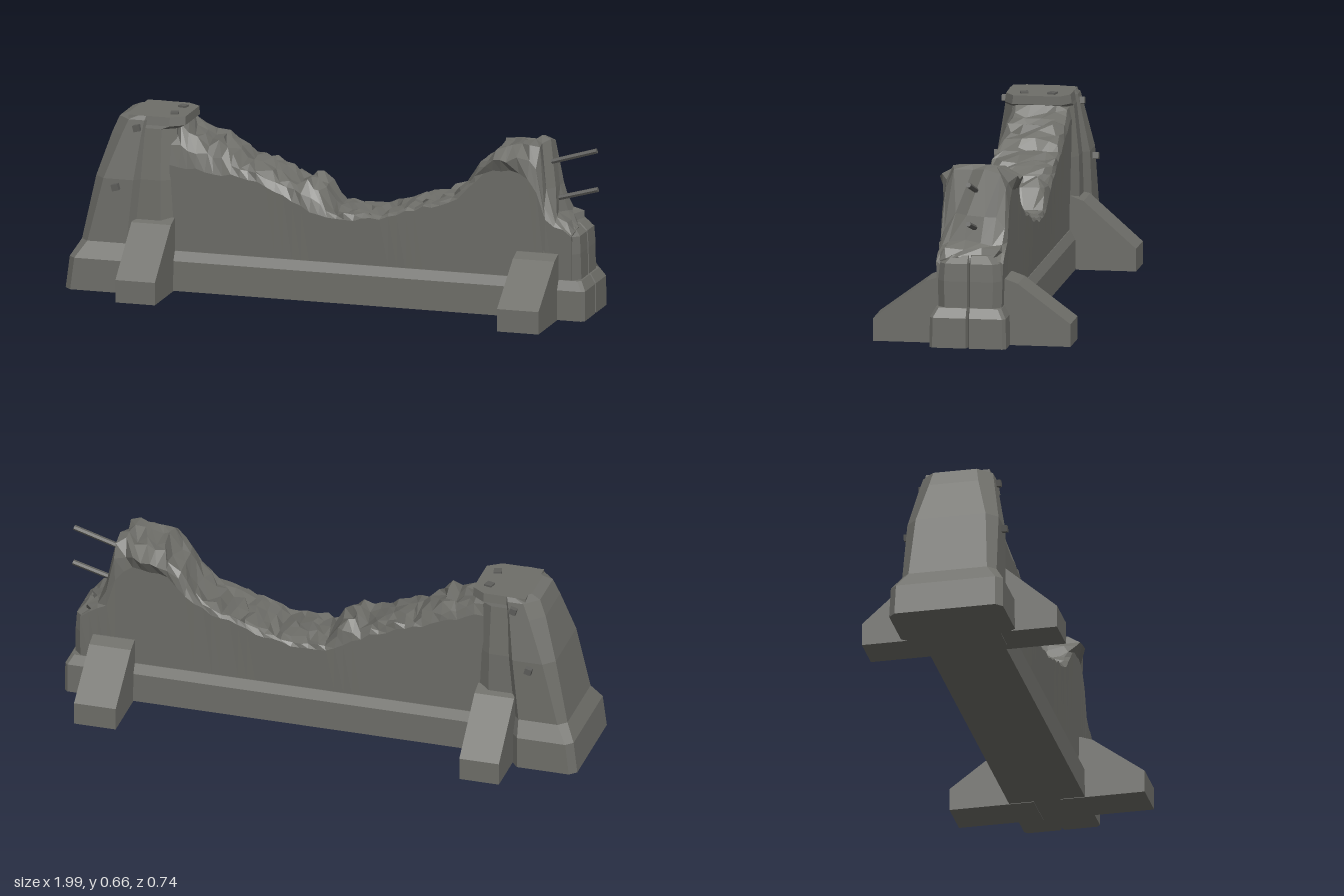
import * as THREE from 'three';

const concrete = new THREE.MeshStandardMaterial({ color: 0x6e6e69 });
concrete.name = 'concrete';
const steel = new THREE.MeshStandardMaterial({ color: 0x5e5e5b });
steel.name = 'steel';

// Small seeded generator, values in 0..1
let seed = 7;
const rand = () => {
  seed = (seed * 16807) % 2147483647;
  return seed / 2147483647;
};
const jitter = (a) => (rand() * 2 - 1) * a;

// Piecewise-linear curve through [x, value] points
function curve(points, x) {
  for (let i = 1; i < points.length; i++) {
    const [x0, v0] = points[i - 1], [x1, v1] = points[i];
    if (x <= x1) return v0 + (v1 - v0) * Math.max(0, (x - x0) / (x1 - x0));
  }
  return points[points.length - 1][1];
}

// Faceted solid through closed rings of equal length, capped at both ends
function loft(rings) {
  const n = rings[0].length, last = (rings.length - 1) * n, index = [];
  for (let r = 0; r < rings.length - 1; r++) {
    for (let i = 0; i < n; i++) {
      const a = r * n + i, b = r * n + (i + 1) % n;
      index.push(a, b, b + n, a, b + n, a + n);
    }
  }
  for (let i = 1; i < n - 1; i++) {
    index.push(0, i + 1, i, last, last + i, last + i + 1);
  }
  const g = new THREE.BufferGeometry();
  g.setAttribute('position', new THREE.Float32BufferAttribute(rings.flat(2), 3));
  g.setIndex(index);
  const flat = g.toNonIndexed();
  flat.computeVertexNormals();
  return flat;
}

export function createModel() {
  const model = new THREE.Group();
  model.name = 'brokenBarrier';
  const add = (name, geometry, material = concrete) => {
    const mesh = new THREE.Mesh(geometry, material);
    mesh.name = name;
    model.add(mesh);
    return mesh;
  };

  // Pillar body: flared foot, tapering upward, bevelled corners
  const body = [
    // y, left x, right x, half depth, corner cut
    [0, -1, -0.75, 0.215, 0.025],
    [0.12, -0.985, -0.75, 0.212, 0.025],
    [0.18, -0.95, -0.745, 0.178, 0.03],
    [0.42, -0.9, -0.72, 0.172, 0.04],
    [0.58, -0.85, -0.7, 0.143, 0.05],
    [0.64, -0.825, -0.69, 0.132, 0.05],
    [0.655, -0.79, -0.685, 0.122, 0.05],
  ];
  add('pillarBody', loft(body.map(([y, l, r, h, c]) => [
    [r, y, h - 0.03], [r, y, -h + 0.03], [r - 0.025, y, -h], [l + c, y, -h],
    [l, y, -h + c], [l, y, h - c], [l + c, y, h], [r - 0.025, y, h],
  ])));

  // Narrower inner strip of the pillar, with a projecting cap
  const strip = [
    // y, right x, half depth
    [0, -0.595, 0.155], [0.42, -0.598, 0.147], [0.61, -0.6, 0.128],
    [0.622, -0.57, 0.125], [0.655, -0.57, 0.12],
  ];
  add('pillarStrip', loft(strip.map(([y, r, h]) => [
    [r, y, h - 0.035], [r, y, -h + 0.035], [r - 0.05, y, -h],
    [-0.78, y, -h], [-0.78, y, h], [r - 0.05, y, h],
  ])));

  // Bolt stubs on both sides and on top of the pillar
  for (const s of [1, -1]) {
    for (const [x, y, z] of [[-0.81, 0.392, 0.177], [-0.74, 0.612, 0.137]]) {
      const bolt = add('sideBolt', new THREE.BoxGeometry(0.026, 0.024, 0.035), steel);
      bolt.position.set(x, y, s * z);
      bolt.rotation.z = 0.25;
    }
    const bolt = add('topBolt', new THREE.BoxGeometry(0.03, 0.012, 0.03), steel);
    bolt.position.set(-0.622, 0.656, s * 0.053);
    bolt.rotation.y = s * 0.25;
  }

  // Plinth with a chamfered upper edge and a notch in its end
  const notched = (y, l, r, h, c) => [
    [r - 0.025, y, 0], [r, y, -0.006], [r, y, -h + c], [r - c, y, -h],
    [l, y, -h], [l, y, h], [r - c, y, h], [r, y, h - c], [r, y, 0.006],
  ];
  add('plinth', loft([
    notched(0.005, -0.62, 0.985, 0.143, 0.012),
    notched(0.117, -0.62, 0.985, 0.141, 0.012),
    notched(0.152, -0.62, 0.965, 0.122, 0.012),
  ]));

  // Cracked stub at the end of the wall
  add('wallEnd', loft([
    notched(0.14, 0.82, 0.958, 0.118, 0.03),
    notched(0.25, 0.82, 0.956, 0.122, 0.03),
    notched(0.315, 0.82, 0.952, 0.118, 0.03),
    notched(0.342, 0.82, 0.925, 0.095, 0.03),
  ]));

  // Broken wall: cross-sections along x with a rough top
  const crest = [
    [-0.62, 0.635], [-0.57, 0.63], [-0.54, 0.59], [-0.46, 0.58], [-0.4, 0.555],
    [-0.36, 0.51], [-0.3, 0.5], [-0.22, 0.465], [-0.18, 0.445], [-0.07, 0.45],
    [-0.04, 0.41], [0, 0.345], [0.1, 0.355], [0.2, 0.35], [0.28, 0.39],
    [0.35, 0.405], [0.42, 0.435], [0.48, 0.45], [0.51, 0.51], [0.56, 0.56],
    [0.62, 0.625], [0.7, 0.645], [0.74, 0.656], [0.8, 0.656], [0.825, 0.52],
    [0.835, 0.42], [0.88, 0.385], [0.91, 0.35], [0.94, 0.335],
  ];
  const frontEdge = [
    [-0.62, 0.48], [-0.4, 0.455], [-0.25, 0.425], [-0.1, 0.35], [0, 0.31], [0.2, 0.335],
    [0.48, 0.425], [0.6, 0.54], [0.72, 0.56], [0.79, 0.5], [0.83, 0.38], [0.94, 0.31],
  ];
  const backEdge = [
    [-0.62, 0.57], [-0.4, 0.49], [-0.2, 0.42], [-0.06, 0.34], [0, 0.31], [0.2, 0.335],
    [0.48, 0.425], [0.6, 0.54], [0.72, 0.56], [0.79, 0.5], [0.83, 0.38], [0.94, 0.31],
  ];
  const overhang = [[0.56, 0], [0.62, 0.036], [0.71, 0.034], [0.77, 0], [1, 0]];
  const rings = [], columns = 46;
  for (let i = 0; i <= columns; i++) {
    const x = -0.62 + 1.55 * i / columns;
    const top = curve(crest, x), out = curve(overhang, x);
    const ledge = (edge) => {
      const e = curve(edge, x) + jitter(0.008);
      return [e, e + (top - e) * 0.5 + jitter(0.01)];
    };
    const [b, bs] = ledge(backEdge), [f, fs] = ledge(frontEdge);
    const ring = [
      [x, 0.14, -0.119], [x, b, -0.125],
      [x + jitter(0.008), bs, -0.122 - out + rand() * 0.012],
    ];
    for (const z of [-0.09, -0.035, 0.03, 0.085]) {
      const rough = i % 2 ? 0.012 : 0.035;
      ring.push([x + jitter(0.013), top - rand() * rough, z + jitter(0.018)]);
    }
    ring.push([x + jitter(0.008), fs, 0.12 + out - rand() * 0.014], [x, f, 0.125], [x, 0.14, 0.119]);
    rings.push(ring);
  }
  add('brokenWall', loft(rings));

  // Sloping buttresses, mirrored front and back
  for (const [name, x0, x1, rise] of [['pillarButtress', -0.752, -0.6, 0.275], ['endButtress', 0.72, 0.88, 0.247]]) {
    for (const s of [1, -1]) {
      const profile = new THREE.Shape([
        [0.05, 0], [0.368, 0], [0.368, 0.085], [0.172, rise - 0.017], [0.125, rise], [0.05, rise],
      ].map(([z, y]) => new THREE.Vector2(z, y)));
      const g = new THREE.ExtrudeGeometry(profile, { depth: x1 - x0, bevelEnabled: false });
      g.rotateY(-s * Math.PI / 2).translate(s > 0 ? x1 : x0, 0.003, 0);
      add(name, g);
    }
  }

  // Bent reinforcing bars sticking out of the break
  for (const [x0, y0, x1, y1] of [[0.76, 0.55, 0.988, 0.619], [0.76, 0.408, 0.992, 0.473]]) {
    const length = Math.hypot(x1 - x0, y1 - y0);
    const bar = add('reinforcingBar', new THREE.CylinderGeometry(0.01, 0.01, length, 6).toNonIndexed(), steel);
    bar.geometry.computeVertexNormals();
    bar.position.set((x0 + x1) / 2, (y0 + y1) / 2, -0.005);
    bar.rotation.z = Math.atan2(y1 - y0, x1 - x0) - Math.PI / 2;
  }

  return model;
}
